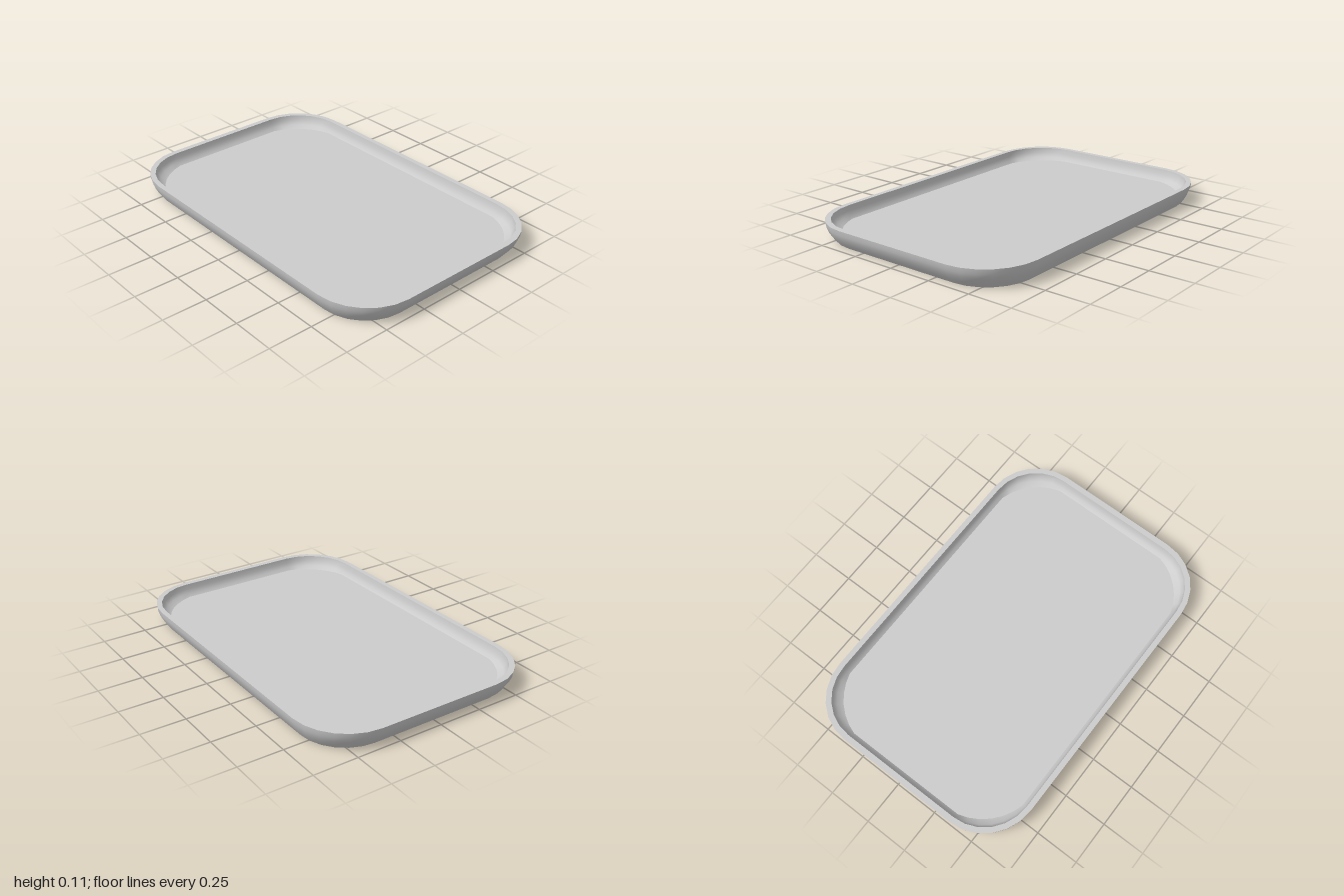
import * as THREE from 'three';

const SEGS = 6;           // segments per rounded corner
const CX = 0.69, CZ = 0.36; // corner arc centre

// Closed rounded-rectangle loop; flatten pulls corner arcs toward a chamfer
function ring(hx, hz, y, flatten = 0) {
  const pts = [];
  for (let q = 0; q < 4; q++) {
    const sx = q === 0 || q === 3 ? 1 : -1;
    const sz = q < 2 ? 1 : -1;
    for (let i = 0; i <= SEGS; i++) {
      const t = i / SEGS, k = q % 2 ? 1 - t : t; // mirrored in odd quadrants
      const a = k * Math.PI / 2;
      const u = THREE.MathUtils.lerp(Math.cos(a), 1 - k, flatten);
      const v = THREE.MathUtils.lerp(Math.sin(a), k, flatten);
      pts.push([sx * (CX + (hx - CX) * u), y, sz * (CZ + (hz - CZ) * v)]);
    }
  }
  return pts;
}

// Smooth skin through consecutive loops
function loft(name, rings, material) {
  const n = rings[0].length, index = [];
  for (let j = 0; j < rings.length - 1; j++) {
    for (let i = 0; i < n; i++) {
      const a = j * n + i, b = j * n + (i + 1) % n;
      index.push(a, a + n, b, b, a + n, b + n);
    }
  }
  return finish(name, rings.flat(2), index, material);
}

// Flat cap fanned from the centre
function cap(name, loop, up, material) {
  const n = loop.length, index = [];
  for (let i = 0; i < n; i++) {
    const b = (i + 1) % n;
    index.push(n, up ? b : i, up ? i : b);
  }
  return finish(name, [...loop, [0, loop[0][1], 0]].flat(), index, material);
}

function finish(name, positions, index, material) {
  const g = new THREE.BufferGeometry();
  g.setAttribute('position', new THREE.Float32BufferAttribute(positions, 3));
  g.setIndex(index);
  g.computeVertexNormals();
  const mesh = new THREE.Mesh(g, material);
  mesh.name = name;
  return mesh;
}

export function createModel() {
  const group = new THREE.Group();
  group.name = 'tray';
  const grey = new THREE.MeshStandardMaterial({ color: 0xcccccc });
  grey.name = 'light grey';

  // Loops from the base up, over the rim and down to the floor
  const base = ring(0.945, 0.615, 0);
  const outerTop = ring(1, 0.66, 0.11);
  const innerTop = ring(0.968, 0.63, 0.11);
  const floor = ring(0.935, 0.602, 0.04, 0.35);

  group.add(
    cap('base', base, false, grey),
    loft('outerWall', [
      base,
      ring(0.966, 0.633, 0.027),
      ring(0.984, 0.647, 0.055),
      ring(0.996, 0.657, 0.083),
      outerTop,
    ], grey),
    loft('rim', [outerTop, innerTop], grey),
    loft('innerWall', [
      innerTop,
      ring(0.963, 0.626, 0.08),
      ring(0.952, 0.616, 0.056, 0.1),
      floor,
    ], grey),
    cap('floor', floor, true, grey),
  );
  return group;
}
